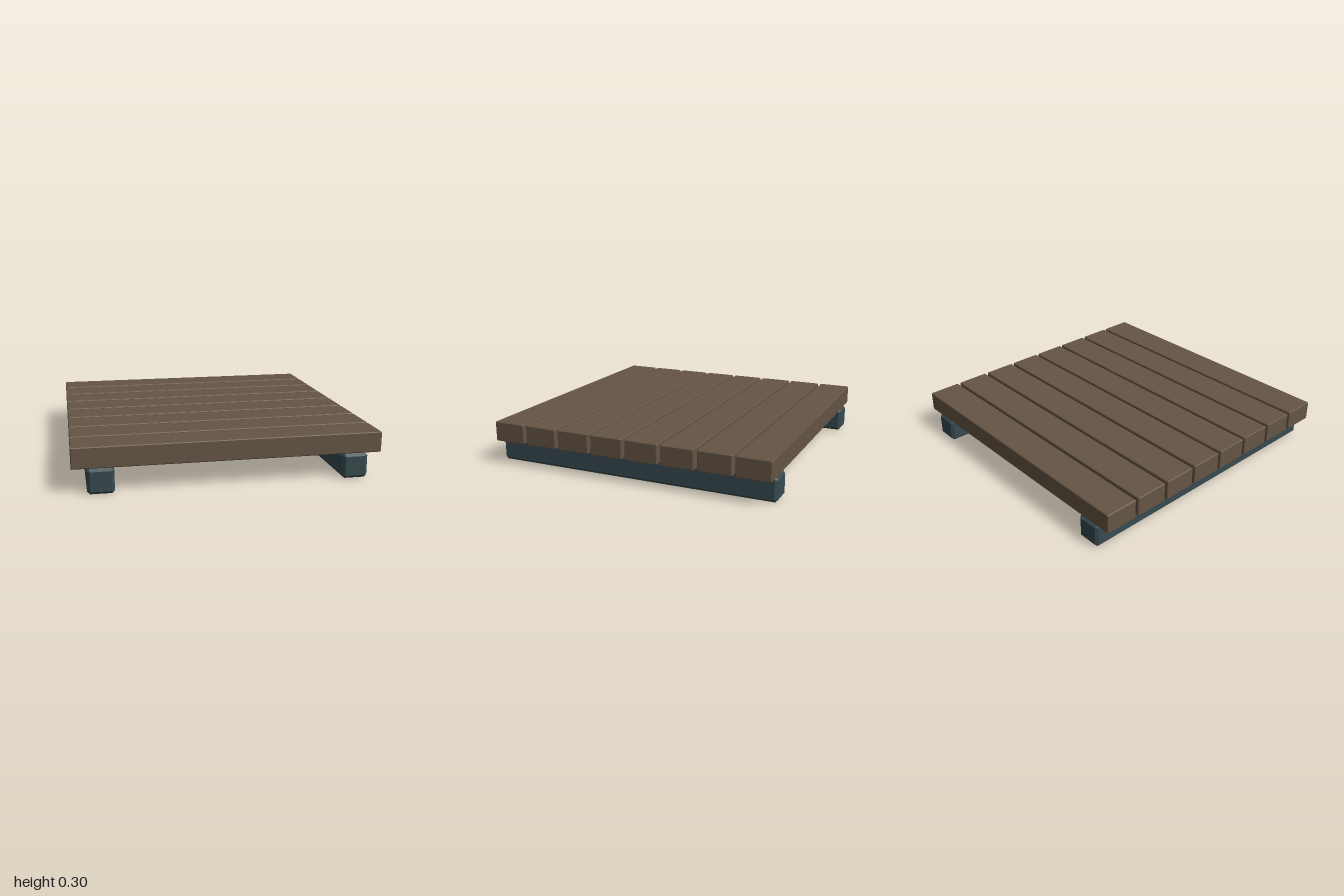
import * as THREE from 'three';
import { ConvexGeometry } from 'three/addons/geometries/ConvexGeometry.js';

// Box with every edge and corner chamfered by c
function chamferBox(w, h, d, c) {
  const points = [];
  for (const x of [-1, 1]) for (const y of [-1, 1]) for (const z of [-1, 1]) {
    for (let axis = 0; axis < 3; axis++) {
      const inset = [c, c, c];
      inset[axis] = 0;
      points.push(new THREE.Vector3(
        x * (w / 2 - inset[0]), y * (h / 2 - inset[1]), z * (d / 2 - inset[2])));
    }
  }
  return new ConvexGeometry(points);
}

export function createModel() {
  const model = new THREE.Group();
  model.name = 'slattedPlatform';
  const wood = new THREE.MeshStandardMaterial({ color: 0x655545, flatShading: true });
  const painted = new THREE.MeshStandardMaterial({ color: 0x374a4f, flatShading: true });

  // Two bearer beams running front to back
  const beamGeometry = chamferBox(0.17, 0.165, 2, 0.018);
  for (const side of [-1, 1]) {
    const beam = new THREE.Mesh(beamGeometry, painted);
    beam.name = side > 0 ? 'leftBeam' : 'rightBeam';
    beam.position.set(side * 0.82, 0.0825, 0);
    model.add(beam);
  }

  // Eight deck planks laid across the beams
  const plankGeometry = chamferBox(1.996, 0.136, 0.229, 0.005);
  for (let i = 0; i < 8; i++) {
    const plank = new THREE.Mesh(plankGeometry, wood);
    plank.name = `plank${i + 1}`;
    plank.position.set(0, 0.233, -0.878 + i * 0.25);
    model.add(plank);
  }
  return model;
}
